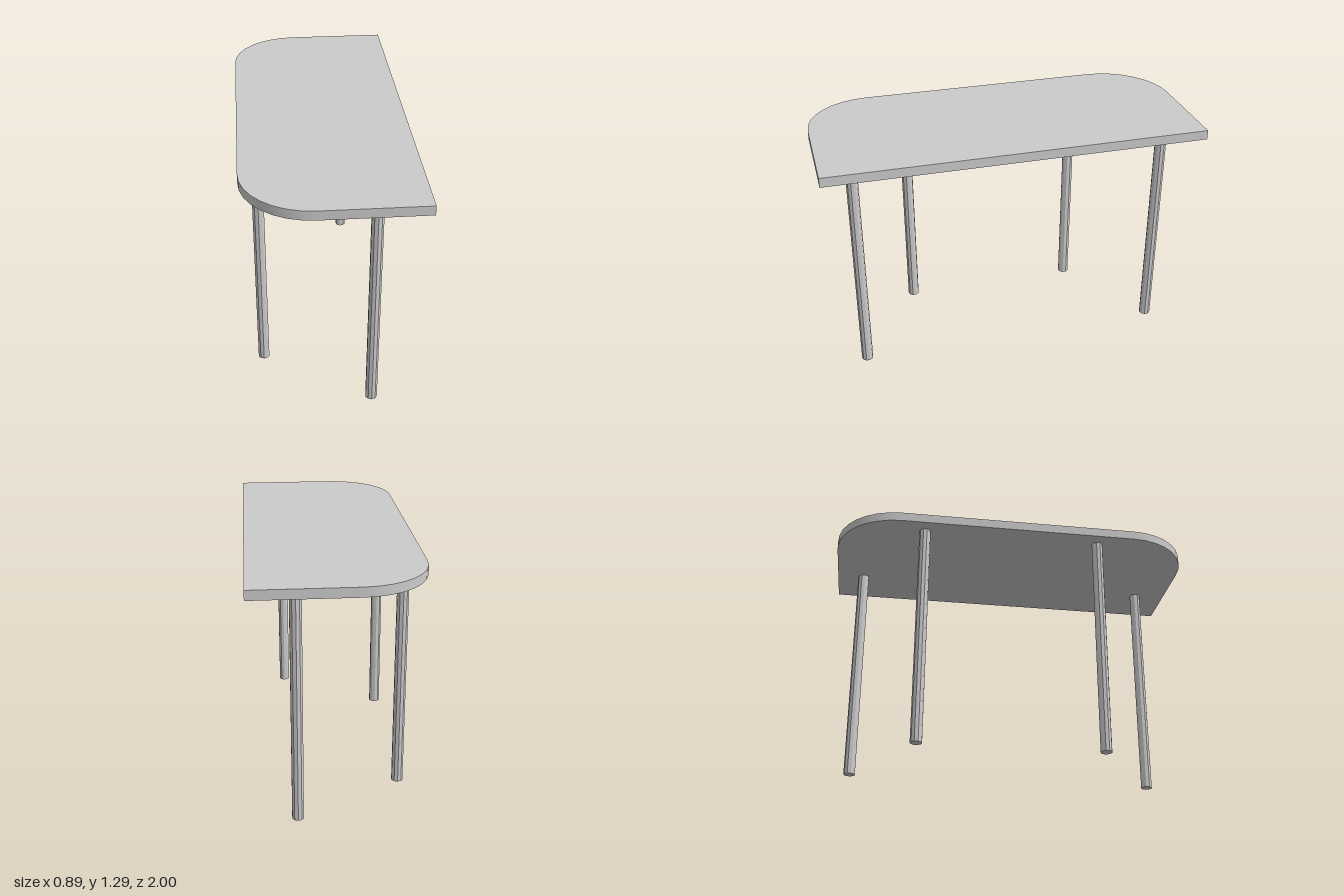
import * as THREE from 'three';
import { toCreasedNormals } from 'three/addons/utils/BufferGeometryUtils.js';

const HALF_WIDTH = 0.443, HALF_LENGTH = 1, CORNER = 0.353;
const LEG_HEIGHT = 1.24, TOP_THICKNESS = 0.05, LEG_RADIUS = 0.031;

export function createModel() {
  const group = new THREE.Group();
  group.name = 'table';
  const material = new THREE.MeshStandardMaterial({ color: 0xcccccc });
  const legMaterial = new THREE.MeshStandardMaterial({ color: 0xcccccc, flatShading: true });

  // Table top: square corners on the +x side, rounded corners on the -x side
  const cx = -HALF_WIDTH + CORNER, cy = HALF_LENGTH - CORNER;
  const outline = new THREE.Shape();
  outline.moveTo(HALF_WIDTH, -HALF_LENGTH);
  outline.lineTo(HALF_WIDTH, HALF_LENGTH);
  outline.absarc(cx, cy, CORNER, Math.PI / 2, Math.PI, false);
  outline.absarc(cx, -cy, CORNER, Math.PI, Math.PI * 1.5, false);
  outline.closePath();
  const topGeometry = new THREE.ExtrudeGeometry(outline, {
    depth: TOP_THICKNESS, bevelEnabled: false, curveSegments: 4,
  });
  topGeometry.rotateX(-Math.PI / 2);
  const top = new THREE.Mesh(toCreasedNormals(topGeometry, 0.5), material);
  top.name = 'tableTop';
  top.position.y = LEG_HEIGHT;
  group.add(top);

  // Four slim legs, set closer together under the rounded side
  const legGeometry = new THREE.CylinderGeometry(LEG_RADIUS, LEG_RADIUS, LEG_HEIGHT, 10);
  const legs = {
    frontLeftLeg: [0.208, 0.825],
    frontRightLeg: [-0.349, 0.456],
    backRightLeg: [-0.349, -0.518],
    backLeftLeg: [0.208, -0.85],
  };
  for (const [name, [x, z]] of Object.entries(legs)) {
    const leg = new THREE.Mesh(legGeometry, legMaterial);
    leg.name = name;
    leg.position.set(x, LEG_HEIGHT / 2, z);
    group.add(leg);
  }
  return group;
}
